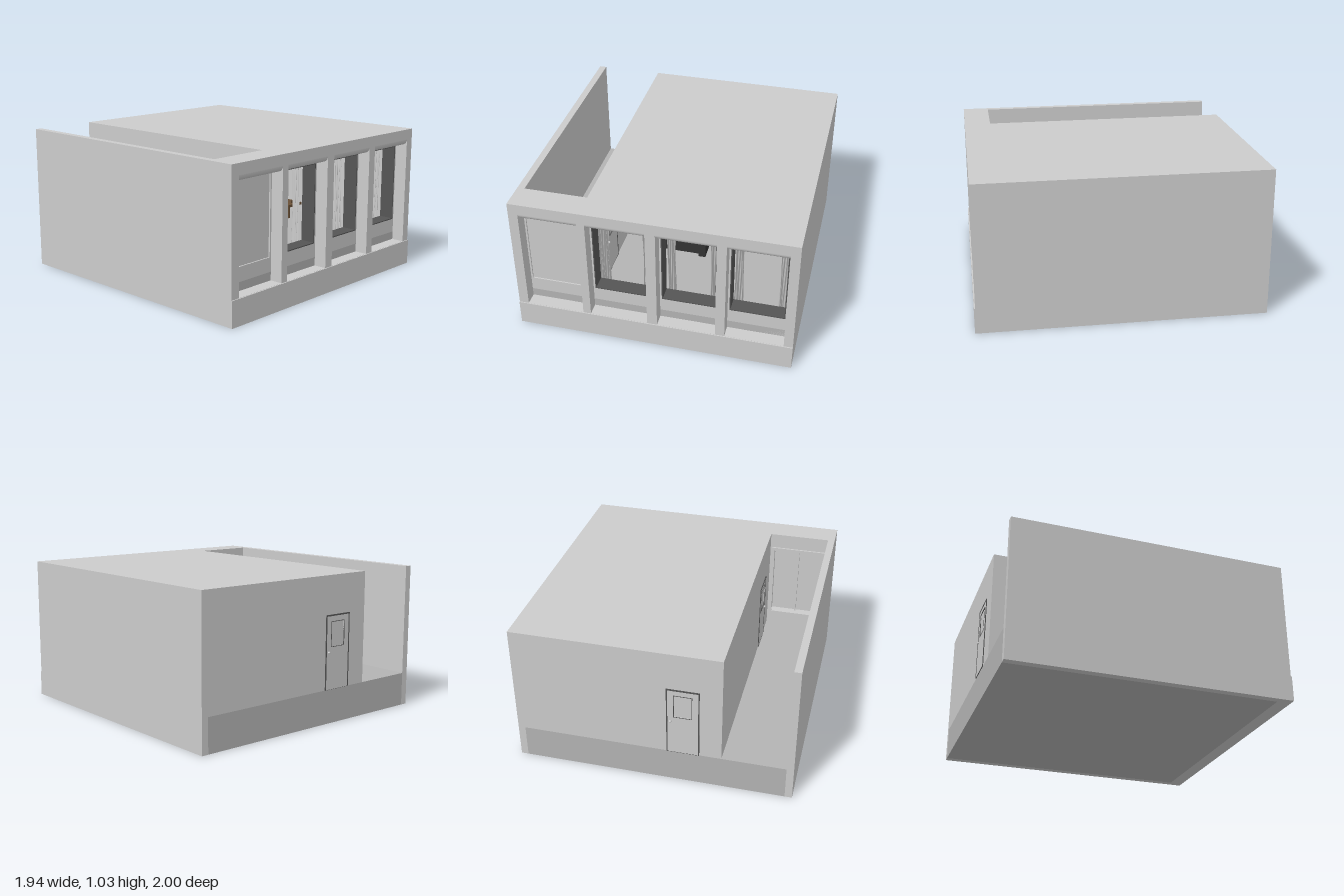
import * as THREE from 'three';

const mat = (color, opts = {}) => new THREE.MeshStandardMaterial({ color, ...opts });
const grey = mat(0xcccccc), slabGrey = mat(0xb3b3b3), dark = mat(0x555555);
const black = mat(0x333333), brown = mat(0x6b5238);
const cloth = mat(0xcccccc, { side: THREE.DoubleSide });

function add(parent, name, geometry, material = grey) {
  const mesh = new THREE.Mesh(geometry, material);
  mesh.name = name;
  parent.add(mesh);
  return mesh;
}

// box given by its limits on each axis
function box(parent, name, x0, x1, y0, y1, z0, z1, material = grey) {
  const mesh = add(parent, name, new THREE.BoxGeometry(x1 - x0, y1 - y0, z1 - z0), material);
  mesh.position.set((x0 + x1) / 2, (y0 + y1) / 2, (z0 + z1) / 2);
  return mesh;
}

function rect(Type, x0, x1, y0, y1) {
  const s = new Type();
  s.moveTo(x0, y0).lineTo(x1, y0).lineTo(x1, y1).lineTo(x0, y1).closePath();
  return s;
}

// rectangular plate with rectangular holes, extruded from z0 to z1
function plate(parent, name, outer, holes, z0, z1, material = grey) {
  const shape = rect(THREE.Shape, ...outer);
  holes.forEach(h => shape.holes.push(rect(THREE.Path, ...h)));
  const geo = new THREE.ExtrudeGeometry(shape, { depth: z1 - z0, bevelEnabled: false });
  return Object.assign(add(parent, name, geo, material), {}).translateZ(z0);
}

// door that wraps both faces of a wall, centred on that wall
function makeDoor(name) {
  const g = new THREE.Group();
  g.name = name;
  plate(g, 'doorLeaf', [-0.105, 0.105, 0, 0.51], [[-0.06, 0.06, 0.3, 0.47]], -0.028, 0.028);
  plate(g, 'doorFrame', [-0.113, 0.113, 0, 0.52], [[-0.105, 0.105, -0.001 + 0.002, 0.51]], -0.03, 0.03, dark);
  plate(g, 'doorWindowTrim', [-0.064, 0.064, 0.296, 0.474], [[-0.06, 0.06, 0.3, 0.47]], -0.03, 0.03, dark);
  for (const s of [-1, 1]) {
    const stem = add(g, 'knobStem', new THREE.CylinderGeometry(0.004, 0.004, 0.012, 10));
    stem.rotation.x = Math.PI / 2;
    stem.position.set(0.085, 0.26, s * 0.03);
    add(g, 'knob', new THREE.SphereGeometry(0.009, 14, 10)).position.set(0.085, 0.26, s * 0.032);
  }
  return g;
}

// pleated hanging cloth
function makeCurtain(parent, x, width, z) {
  const geo = new THREE.PlaneGeometry(width, 0.66, 40, 6);
  const p = geo.attributes.position;
  for (let i = 0; i < p.count; i++) {
    const t = p.getX(i) / width, y = p.getY(i);
    p.setZ(i, 0.011 * Math.sin(t * 30 + x * 9) + 0.003 * Math.sin(t * 13 + y * 6));
    p.setX(i, p.getX(i) + 0.004 * Math.sin(y * 8 + t * 9));
  }
  geo.computeVertexNormals();
  add(parent, 'curtain', geo, cloth).position.set(x, 0.575, z);
}

function makeCouch() {
  const g = new THREE.Group();
  g.name = 'couch';
  box(g, 'couchBase', -0.19, 0.185, 0.26, 0.33, 0.04, 0.26, black);
  box(g, 'couchBack', -0.19, 0.185, 0.27, 0.44, 0.21, 0.28, black);
  for (const x of [-0.22, 0.16]) box(g, 'couchArm', x, x + 0.05, 0.25, 0.385, 0.04, 0.285, black);
  for (const x of [-0.165, 0]) box(g, 'seatCushion', x, x + 0.158, 0.33, 0.35, 0.035, 0.21, black);
  return g;
}

function makeTable(name, x0, x1, top, z0, z1) {
  const g = new THREE.Group();
  g.name = name;
  box(g, 'tableTop', x0, x1, top - 0.015, top, z0, z1, brown);
  for (const x of [x0 + 0.005, x1 - 0.025])
    for (const z of [z0 + 0.005, z1 - 0.025])
      box(g, 'tableLeg', x, x + 0.02, 0.24, top - 0.015, z, z + 0.02, brown);
  return g;
}

export function createModel() {
  const model = new THREE.Group();
  model.name = 'building';
  const bays = [-0.7, -0.24, 0.235, 0.705];

  // floor slab, also the alley floor
  box(model, 'floorSlab', -0.92, 0.92, 0, 0.24, -0.985, 0.9, slabGrey);

  // outer walls, room walls and roof
  box(model, 'alleyOuterWall', -0.97, -0.92, 0, 1.03, -0.985, 0.9);
  box(model, 'sideWall', 0.92, 0.97, 0, 1.03, -0.985, 0.9);
  box(model, 'backWall', -0.48, 0.92, 0.24, 0.98, -0.985, -0.935);
  box(model, 'alleyRoomWall', -0.48, -0.43, 0.24, 0.98, -0.935, 0.8);
  box(model, 'roof', -0.48, 0.92, 0.98, 1.03, -0.985, 0.8);

  // front: base, pillared facade, window wall behind it
  box(model, 'frontBase', -0.97, 0.97, 0, 0.18, 0.9, 1);
  plate(model, 'facade', [-0.97, 0.97, 0.18, 1.03],
    bays.map(x => [x - 0.2025, x + 0.2025, 0.181, 0.955]), 0.9, 0.992);
  plate(model, 'windowWall', [-0.92, 0.92, 0.24, 1.03],
    bays.map(x => [x - 0.19, x + 0.19, 0.34, 0.9]), 0.8, 0.9);
  box(model, 'lowerWindowWall', -0.92, 0.92, 0.18, 0.24, 0.895, 0.9);

  // rounded lintels over the bays, profile in z and y
  const profile = new THREE.Shape();
  profile.moveTo(0.9, 0.957).lineTo(0.9, 0.915).lineTo(0.952, 0.915);
  profile.absellipse(0.952, 0.955, 0.04, 0.04, -Math.PI / 2, 0, false);
  profile.lineTo(0.992, 0.957).closePath();
  for (const x of bays) {
    const geo = new THREE.ExtrudeGeometry(profile, { depth: 0.405, bevelEnabled: false, curveSegments: 10 });
    geo.rotateY(-Math.PI / 2);
    // local z becomes -x and local x becomes z
    add(model, 'lintel', geo).position.x = x + 0.2025;
  }

  // closed first bay with a trim on the alley side
  box(model, 'blindPanel', -0.89, -0.51, 0.34, 0.9, 0.86, 0.89);
  plate(model, 'alleyWindowTrim', [-0.91, -0.49, 0.32, 0.92], [[-0.885, -0.515, 0.345, 0.895]], 0.787, 0.8);
  box(model, 'alleyWindowMullion', -0.705, -0.695, 0.34, 0.9, 0.84, 0.86);

  // open windows with dark reveals, curtains and a rod
  for (const x of bays.slice(1)) {
    plate(model, 'windowFrame', [x - 0.19, x + 0.19, 0.34, 0.9],
      [[x - 0.183, x + 0.183, 0.347, 0.893]], 0.795, 0.901, dark);
    for (const s of [-1, 1]) makeCurtain(model, x + s * 0.152, 0.062, 0.765);
    const rod = add(model, 'curtainRod', new THREE.CylinderGeometry(0.006, 0.006, 0.4, 10), dark);
    rod.rotation.z = Math.PI / 2;
    rod.position.set(x, 0.91, 0.765);
  }

  // doors in the back wall and the alley wall
  const backDoor = makeDoor('backDoor');
  backDoor.position.set(-0.215, 0.24, -0.96);
  const alleyDoor = makeDoor('alleyDoor');
  alleyDoor.rotation.y = -Math.PI / 2;
  alleyDoor.position.set(-0.455, 0.24, 0.5);
  model.add(backDoor, alleyDoor);

  // furniture
  model.add(makeCouch());
  model.add(makeTable('coffeeTable', -0.12, 0.16, 0.35, -0.2, -0.04));
  model.add(makeTable('sideTable', 0.48, 0.62, 0.42, -0.3, -0.12));
  const lounger = new THREE.Group();
  lounger.name = 'lowChair';
  box(lounger, 'chairSeat', 0.66, 0.82, 0.33, 0.35, -0.1, 0.08, brown);
  box(lounger, 'chairBack', -0.06, 0.06, -0.01, 0.01, -0.09, 0.09, brown).rotation.z = -0.25;
  lounger.children[1].position.set(0.745, 0.362, -0.01);
  for (const x of [0.67, 0.79])
    for (const z of [-0.09, 0.05]) box(lounger, 'chairLeg', x, x + 0.02, 0.24, 0.33, z, z + 0.02, brown);
  model.add(lounger);

  return model;
}
